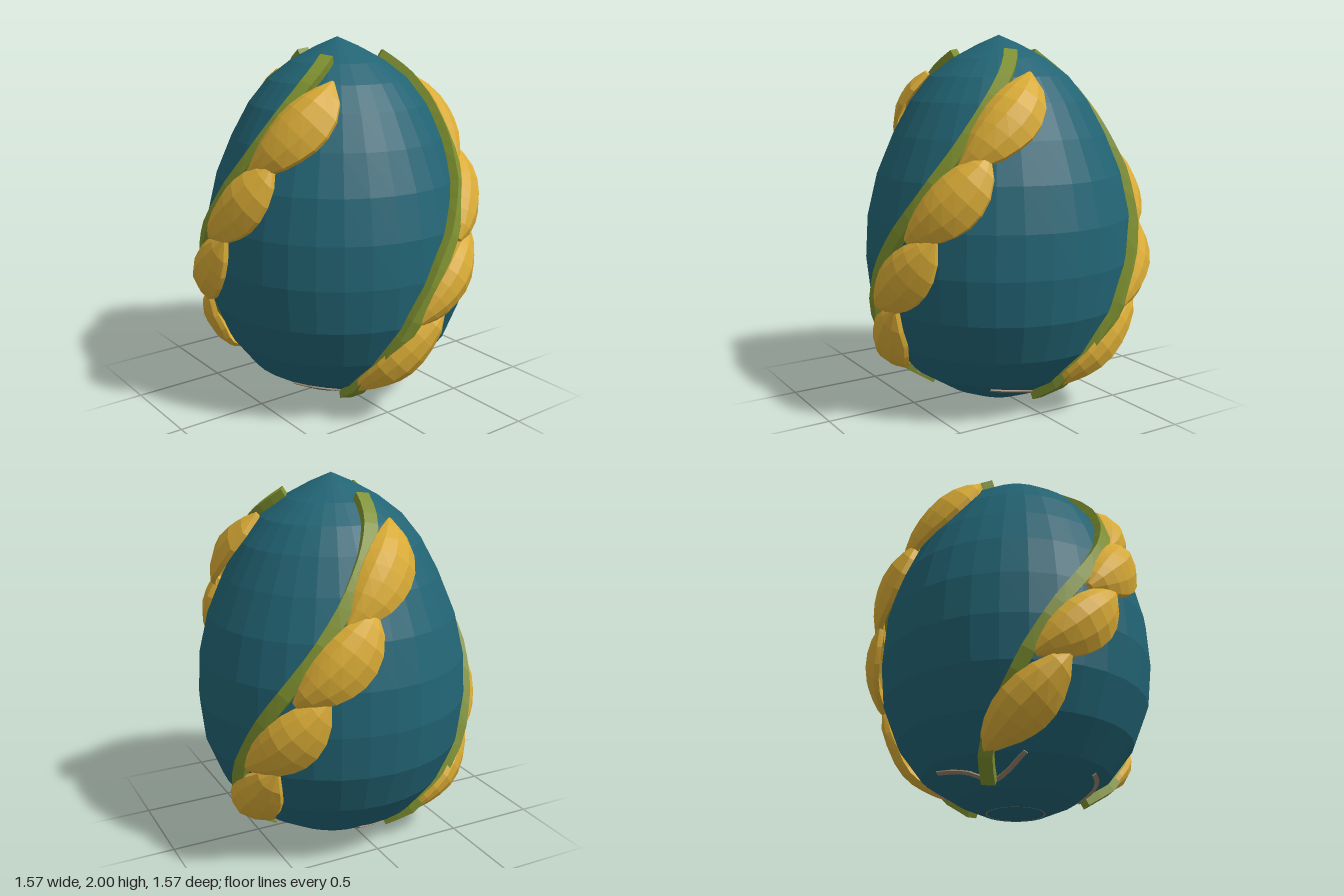
import * as THREE from 'three';

// Egg silhouette as [radius, height]
const PROFILE = [
  [0.17, 0], [0.31, 0.06], [0.5, 0.18], [0.63, 0.35], [0.715, 0.565], [0.74, 0.8],
  [0.727, 1.03], [0.672, 1.26], [0.583, 1.47], [0.485, 1.65], [0.38, 1.78],
  [0.255, 1.875], [0.115, 1.95], [0, 2],
];

function radiusAt(y) {
  for (let i = 1; i < PROFILE.length; i++) {
    const [r0, y0] = PROFILE[i - 1], [r1, y1] = PROFILE[i];
    if (y <= y1) return r0 + (r1 - r0) * (y - y0) / (y1 - y0);
  }
  return 0;
}

// Point and outward normal on the egg at an angle (degrees) and height
function onEgg(angle, y) {
  const a = THREE.MathUtils.degToRad(angle), r = radiusAt(y);
  const slope = (radiusAt(Math.min(y + 0.06, 2)) - radiusAt(Math.max(y - 0.06, 0))) / 0.12;
  return {
    p: new THREE.Vector3(r * Math.cos(a), y, r * Math.sin(a)),
    n: new THREE.Vector3(Math.cos(a), -slope, Math.sin(a)).normalize(),
  };
}

// Sweep a cross-section along a path of [angle, height] points lying on the egg.
// section(t) returns a closed loop of [sideways, outwards] offsets.
function sweepOnEgg(path, steps, section) {
  const curve = new THREE.CatmullRomCurve3(path.map(([a, y]) => new THREE.Vector3(a / 60, y, 0)));
  const frames = [];
  for (let i = 0; i <= steps; i++) {
    const q = curve.getPoint(i / steps);
    frames.push(onEgg(q.x * 60, q.y));
  }
  const rings = frames.map(({ p, n }, i) => {
    const tangent = frames[Math.min(i + 1, steps)].p.clone().sub(frames[Math.max(i - 1, 0)].p);
    const side = tangent.cross(n).normalize();
    return section(i / steps).map(([s, h]) =>
      p.clone().addScaledVector(side, s).addScaledVector(n, h - s * s / 1.4));
  });
  const m = rings[0].length, index = [];
  for (let i = 0; i < steps; i++) {
    for (let j = 0; j < m; j++) {
      const a = i * m + j, b = i * m + (j + 1) % m;
      index.push(a, b, a + m, b, b + m, a + m);
    }
  }
  const last = steps * m;
  for (let j = 1; j < m - 1; j++) {
    index.push(0, j + 1, j, last, last + j, last + j + 1);
  }
  const geo = new THREE.BufferGeometry().setFromPoints(rings.flat());
  geo.setIndex(index);
  const flat = geo.toNonIndexed();
  flat.computeVertexNormals();
  return flat;
}

// Leaf outline: share of full width from base to tip
const LEAF_WIDTH = [0.16, 0.5, 0.76, 0.92, 1, 0.98, 0.84, 0.55, 0.06];

function leafSection(t) {
  const w = LEAF_WIDTH[Math.round(t * (LEAF_WIDTH.length - 1))];
  const lift = 0.035 + 0.015 * Math.sin(Math.PI * t);
  const top = [[-0.1, 0], [-0.055, 0.6], [0.02, 1], [0.11, 0.65], [0.18, 0]]
    .map(([s, d]) => [s * w, lift + 0.055 * d * w]);
  const under = top.map(([s, h]) => [s, h - 0.028]).reverse();
  return [...top, ...under];
}

function box(halfWidth, low, high) {
  return () => [[-halfWidth, high], [halfWidth, high], [halfWidth, low], [-halfWidth, low]];
}

export function createModel() {
  const make = (name, color) => {
    const m = new THREE.MeshStandardMaterial({ color, flatShading: true });
    m.name = name;
    return m;
  };
  const teal = make('teal shell', 0x226474);
  const green = make('vine green', 0x7f9130);
  const gold = make('leaf gold', 0xdaac36);
  const tan = make('root tan', 0x94806a);

  const model = new THREE.Group();
  model.name = 'vineEgg';
  const add = (parent, name, geo, mat) => {
    const mesh = new THREE.Mesh(geo, mat);
    mesh.name = name;
    parent.add(mesh);
    return mesh;
  };

  // Egg body with a flat base
  const outline = [[0, 0], ...PROFILE].map(([r, y]) => new THREE.Vector2(r, y));
  add(model, 'eggShell', new THREE.LatheGeometry(outline, 32), teal);

  // Thin ring on the underside
  const ring = add(model, 'baseRing', new THREE.RingGeometry(0.148, 0.155, 32), tan);
  ring.rotation.x = Math.PI / 2;
  ring.position.y = -0.001;

  // Spiral vine, its root and its leaves
  const vineGeo = sweepOnEgg([
    [119, 0.09], [112, 0.23], [105, 0.36], [93, 0.635], [81, 0.89], [67, 1.13],
    [52, 1.39], [40, 1.6], [29, 1.76], [19, 1.885],
  ], 28, box(0.036, -0.02, 0.045));
  const rootGeo = sweepOnEgg([[158, 0.15], [135, 0.125], [117, 0.085], [103, 0.12], [93, 0.18]],
    14, box(0.012, -0.02, 0.008));
  const leafGeos = [
    [[115, 0.2], [98, 0.38], [78, 0.61]],
    [[92, 0.6], [75, 0.79], [57, 1.0]],
    [[70, 0.98], [54, 1.18], [37, 1.4]],
    [[49, 1.34], [31, 1.57], [10, 1.78]],
  ].map((path) => sweepOnEgg(path, LEAF_WIDTH.length - 1, leafSection));

  // Three identical vines around the axis
  for (let k = 0; k < 3; k++) {
    const vine = new THREE.Group();
    vine.name = 'vine' + (k + 1);
    vine.rotation.y = -k * Math.PI * 2 / 3;
    add(vine, 'stem', vineGeo, green);
    add(vine, 'root', rootGeo, tan);
    leafGeos.forEach((geo, i) => add(vine, 'leaf' + (i + 1), geo, gold));
    model.add(vine);
  }

  model.position.set(0.045, 0, -0.025);
  const root = new THREE.Group();
  root.name = 'decoratedEgg';
  root.add(model);
  return root;
}
